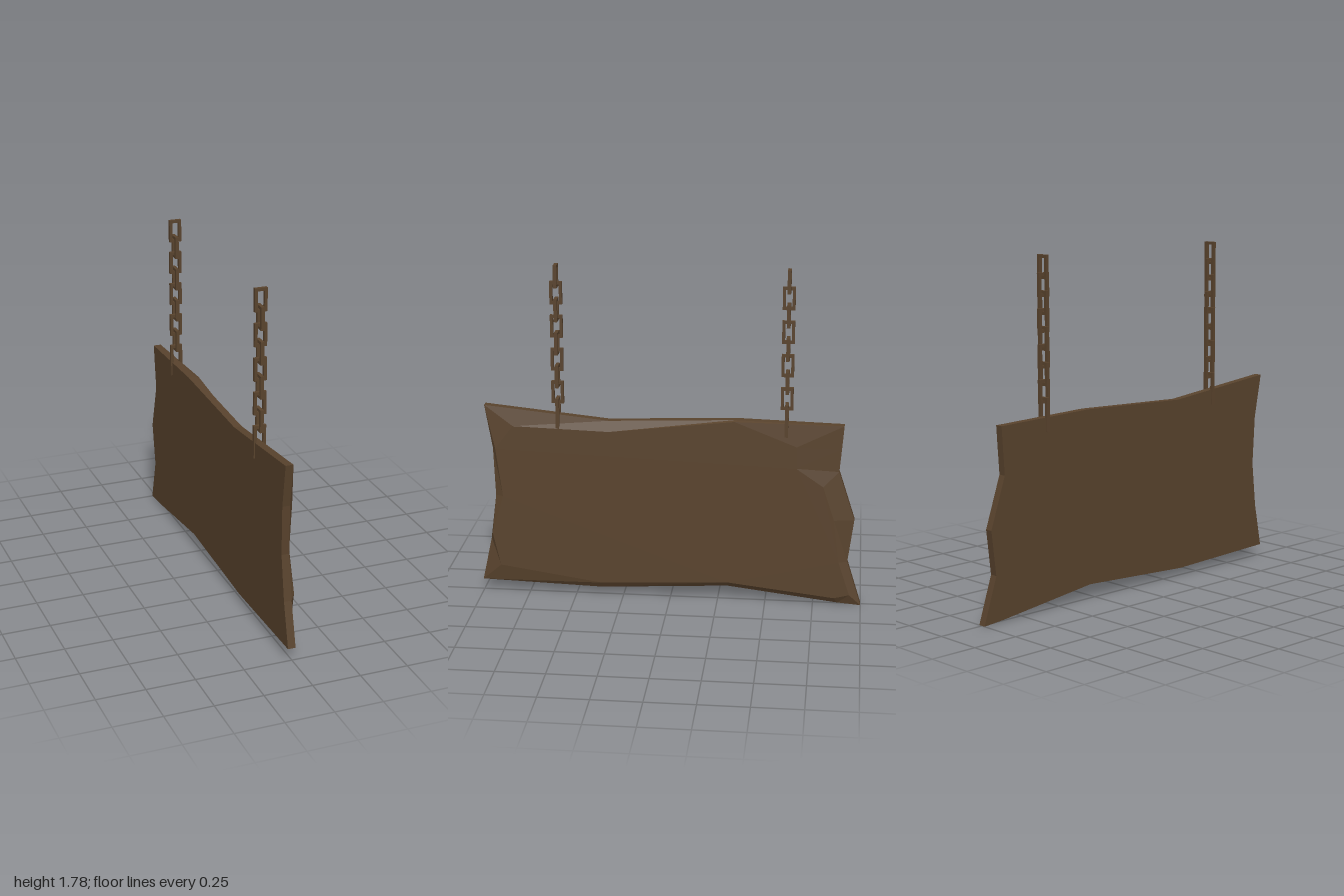
import * as THREE from 'three';

// Board outline as [rim z, rim y, face z, face y], clockwise seen from +x
const OUTLINE = [
  [0.97, 1.03, 0.82, 0.925], [0.32, 0.965, 0.32, 0.91], [-0.33, 0.99, -0.33, 0.985],
  [-0.89, 0.975, -0.65, 0.86], [-0.88, 0.85, -0.65, 0.745], [-0.87, 0.73, -0.79, 0.65],
  [-0.955, 0.47, -0.85, 0.47], [-0.925, 0.24, -0.88, 0.24], [-1, 0, -0.94, 0.06],
  [-0.88, 0.01, -0.86, 0.04], [-0.3, 0.08, -0.3, 0.105], [0.36, 0.045, 0.36, 0.075],
  [1, 0.065, 0.9, 0.155], [0.95, 0.3, 0.94, 0.33], [0.92, 0.54, 0.88, 0.54],
  [0.93, 0.8, 0.915, 0.8],
].reverse();

// Slightly leaning slab: flat back, straight rim, chipped bevel, flat face
function boardGeometry() {
  const n = OUTLINE.length;
  const backX = (y) => -0.02 - 0.016 * y;
  const rings = [
    OUTLINE.map(([z, y]) => [backX(y), y, z]),
    OUTLINE.map(([z, y]) => [backX(y) + 0.04, y, z]),
    OUTLINE.map(([, , z, y]) => [backX(y) + 0.057, y, z]),
  ];
  const index = [];
  for (let r = 0; r < 2; r++) {
    for (let k = 0; k < n; k++) {
      const a = r * n + k, b = r * n + (k + 1) % n;
      index.push(a, b, b + n, a, b + n, a + n);
    }
  }
  const cap = (ring) => THREE.ShapeUtils.triangulateShape(
    ring.map(([, y, z]) => new THREE.Vector2(-z, y)), []);
  cap(rings[0]).forEach(([a, b, c]) => index.push(a, c, b));
  cap(rings[2]).forEach(([a, b, c]) => index.push(a + 2 * n, b + 2 * n, c + 2 * n));

  const geometry = new THREE.BufferGeometry();
  geometry.setAttribute('position', new THREE.Float32BufferAttribute(rings.flat(2), 3));
  geometry.setIndex(index);
  const flat = geometry.toNonIndexed();
  flat.computeVertexNormals();
  return flat;
}

// Rectangular chain link lying in the xy plane
function linkGeometry(height) {
  const w = 0.064, bar = 0.015, depth = 0.018;
  const rect = (path, x, y) => path.moveTo(-x, -y).lineTo(x, -y).lineTo(x, y).lineTo(-x, y).closePath();
  const shape = rect(new THREE.Shape(), w / 2, height / 2);
  shape.holes.push(rect(new THREE.Path(), w / 2 - bar, height / 2 - bar));
  return new THREE.ExtrudeGeometry(shape, { depth, bevelEnabled: false }).translate(0, 0, -depth / 2);
}

export function createModel() {
  const model = new THREE.Group();
  model.name = 'hangingSign';
  const wood = new THREE.MeshStandardMaterial({ color: 0x59432d, flatShading: true });
  const metal = new THREE.MeshStandardMaterial({ color: 0x59432d, flatShading: true });

  const board = new THREE.Mesh(boardGeometry(), wood);
  board.name = 'board';
  model.add(board);

  // Two chains of alternating links, the lowest one gripping the board
  const link = linkGeometry(0.118), longLink = linkGeometry(0.17);
  for (const [name, z] of [['frontChain', 0.585], ['backChain', -0.595]]) {
    const chain = new THREE.Group();
    chain.name = name;
    chain.position.set(-0.01, 0, z);
    for (let i = 0; i < 9; i++) {
      const last = i === 8;
      const mesh = new THREE.Mesh(last ? longLink : link, metal);
      mesh.name = last ? 'boardLink' : 'chainLink';
      mesh.position.y = last ? 0.995 : 1.719 - i * 0.0872;
      mesh.rotation.y = i % 2 ? Math.PI / 2 : 0;
      chain.add(mesh);
    }
    model.add(chain);
  }
  return model;
}
